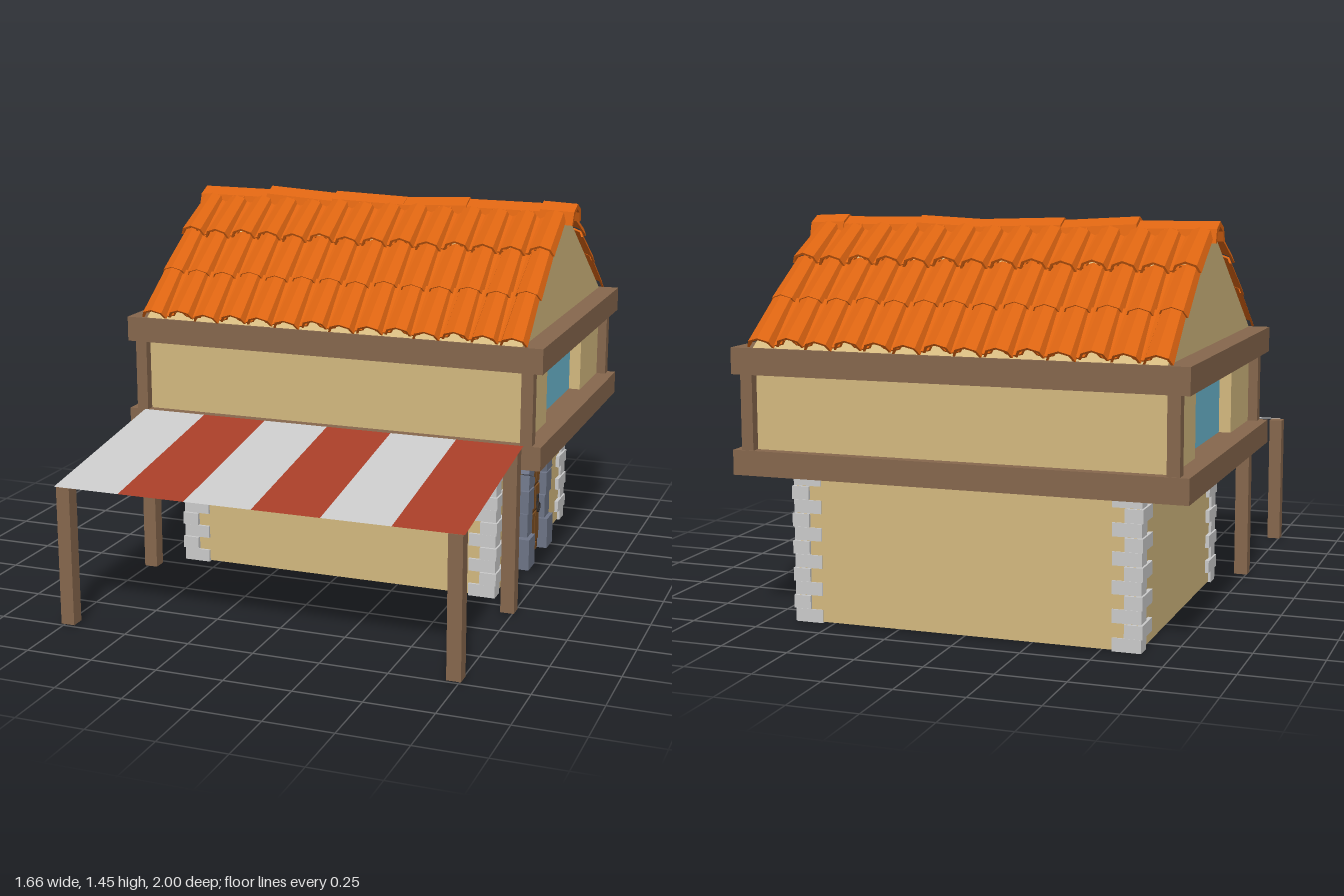
import * as THREE from 'three';

const mat = (color, extra = {}) => new THREE.MeshStandardMaterial({ color, flatShading: true, ...extra });
const M = {
  plaster: mat(0xd4b97f), wood: mat(0x86674d), stone: mat(0xcccccc), slate: mat(0x6e7587),
  tile: mat(0xdc6411), glass: mat(0x6cbad2), door: mat(0x7e4f22), darkWood: mat(0x583616), iron: mat(0x33302e),
  red: mat(0xa83e28, { side: THREE.DoubleSide }), pale: mat(0xcccccc, { side: THREE.DoubleSide }),
};
const MID = -0.35; // z of the ridge and house centre

function add(parent, name, geo, material, x = 0, y = 0, z = 0) {
  const m = new THREE.Mesh(geo, material);
  m.name = name;
  m.position.set(x, y, z);
  parent.add(m);
  return m;
}

// Box given by its lower and upper limits on each axis
function block(parent, name, material, [x0, x1], [y0, y1], [z0, z1]) {
  return add(parent, name, new THREE.BoxGeometry(x1 - x0, y1 - y0, z1 - z0), material,
    (x0 + x1) / 2, (y0 + y1) / 2, (z0 + z1) / 2);
}

function group(parent, name, x = 0, y = 0, z = 0) {
  const g = new THREE.Group();
  g.name = name;
  g.position.set(x, y, z);
  parent.add(g);
  return g;
}

// Faceted arched tile running from z = 0 to z = -length, narrowing by taper
function archTile(w, h, t, length, taper) {
  const arch = (a, b) => [[-a, 0], [-a * 0.75, b * 0.66], [0, b], [a * 0.75, b * 0.66], [a, 0]];
  const pts = [...arch(w, h), ...arch(w - t, h - t).reverse()].map(p => new THREE.Vector2(...p));
  const geo = new THREE.ExtrudeGeometry(new THREE.Shape(pts), { depth: length, bevelEnabled: false });
  const p = geo.attributes.position;
  for (let i = 0; i < p.count; i++) {
    const s = 1 - taper * p.getZ(i) / length;
    p.setXY(i, p.getX(i) * s, p.getY(i) * s);
  }
  geo.rotateY(Math.PI);
  geo.computeVertexNormals();
  return geo;
}

function buildWalls(root) {
  block(root, 'groundFloorWall', M.plaster, [-0.635, 0.635], [0.005, 0.56], [-0.88, 0.185]);
  block(root, 'lowerBeamFrame', M.wood, [-0.83, 0.83], [0.545, 0.635], [-0.985, 0.28]);
  block(root, 'upperBeamFrame', M.wood, [-0.83, 0.83], [0.905, 1.0], [-0.985, 0.28]);
  block(root, 'upperFloorCore', M.plaster, [-0.7, 0.7], [0.635, 0.905], [-0.945, 0.245]);
  for (const s of [-1, 1]) {
    const span = (a, b) => [Math.min(s * a, s * b), Math.max(s * a, s * b)];
    // side wall pieces leave a recessed window between them
    block(root, 'upperSideWall', M.plaster, span(0.7, 0.76), [0.635, 0.905], [-0.07, 0.245]);
    block(root, 'upperSideWall', M.plaster, span(0.7, 0.76), [0.635, 0.905], [-0.945, -0.625]);
    block(root, 'window', M.glass, span(0.7, 0.715), [0.635, 0.905], [-0.625, -0.07]);
    for (const z of [0.2575, -0.9575])
      block(root, 'cornerPost', M.wood, span(0.752, 0.797), [0.635, 0.905], [z - 0.0225, z + 0.0225]);
  }
  // interlocking corner stones
  const quoins = group(root, 'cornerStones', 0, 0, -0.345);
  for (const sx of [-1, 1]) for (const sz of [-1, 1]) for (let i = 0; i < 11; i++) {
    const out = i % 2 ? 0 : 0.005;
    const wx = i % 2 ? 0.065 : 0.105, wz = i % 2 ? 0.125 : 0.065;
    add(quoins, 'cornerStone', new THREE.BoxGeometry(wx, 0.048, wz), M.stone,
      sx * (0.65 - out - wx / 2), 0.025 + i * 0.05, sz * (0.545 - out - wz / 2));
  }
}

function buildRoof(root) {
  const gable = new THREE.Shape([[-0.62, 0], [0.62, 0], [0, 0.4]].map(p => new THREE.Vector2(...p)));
  const gableGeo = new THREE.ExtrudeGeometry(gable, { depth: 1.5, bevelEnabled: false });
  gableGeo.translate(0, 0, -0.75).rotateY(Math.PI / 2);
  add(root, 'gable', gableGeo, M.plaster, 0, 1.0, MID);

  const cover = archTile(0.052, 0.045, 0.009, 0.24, 0.15);
  const trough = cover.clone().rotateZ(Math.PI).scale(0.8, 0.6, 1).translate(0, 0.025, 0);
  // each row: lower end height, distance from the ridge, pitch in degrees
  const rows = [[1.003, 0.62, 37], [1.135, 0.44, 34], [1.27, 0.265, 28]];
  for (const turn of [0, Math.PI]) {
    const slope = group(root, 'roofSlope', 0, 0, MID);
    slope.rotation.y = turn;
    for (const [y, z, pitch] of rows) {
      const row = group(slope, 'tileRow', 0, y, z);
      row.rotation.x = THREE.MathUtils.degToRad(pitch);
      for (let i = 0; i < 14; i++) {
        const x = (i - 6.5) * 0.1105;
        const wobble = 0.006 * Math.sin(i * 2.4 + y * 9);
        add(row, 'roofTile', cover, M.tile, x, 0, wobble);
        if (i < 13) add(row, 'channelTile', trough, M.tile, x + 0.055, 0, -0.01);
      }
    }
  }
  // slightly uneven ridge caps: start x, end x, start top, end top
  const caps = [[-0.775, -0.47, 1.437, 1.435], [-0.485, -0.2, 1.45, 1.433], [-0.2, 0.1, 1.442, 1.432],
    [0.09, 0.365, 1.43, 1.443], [0.36, 0.67, 1.436, 1.434], [0.655, 0.79, 1.443, 1.437]];
  for (const [x0, x1, y0, y1] of caps) {
    const cap = group(root, 'ridgeCap', x0, y0 - 0.075, MID);
    cap.rotation.z = Math.atan2(y1 - y0, x1 - x0);
    add(cap, 'ridgeTile', archTile(0.072, 0.075, 0.02, x1 - x0, 0), M.tile).rotation.y = -Math.PI / 2;
  }
}

function buildDoorway(root) {
  // local x runs along the wall, local z points out of it
  const d = group(root, 'doorway', 0.63, 0, -0.342);
  d.rotation.y = Math.PI / 2;
  const R = 0.105, springY = 0.325;
  const leaf = new THREE.Shape();
  leaf.moveTo(-R, 0.005);
  leaf.lineTo(R, 0.005);
  leaf.lineTo(R, springY);
  leaf.absarc(0, springY, R, 0, Math.PI, false);
  leaf.closePath();
  add(d, 'doorLeaf', new THREE.ExtrudeGeometry(leaf, { depth: 0.014, bevelEnabled: false, curveSegments: 10 }), M.darkWood);
  for (const x of [-0.064, 0, 0.064])
    for (const [y0, y1] of [[0.045, 0.17], [0.185, 0.28], [0.295, x ? 0.375 : 0.415]])
      block(d, 'doorPlank', M.door, [x - 0.028, x + 0.028], [y0, y1], [0.01, 0.02]);
  for (const x of [-0.032, 0.032]) block(d, 'doorBatten', M.door, [x - 0.03, x + 0.03], [0.01, 0.038], [0.01, 0.022]);
  block(d, 'handlePlate', M.iron, [0.046, 0.066], [0.195, 0.24], [0.018, 0.025]);
  add(d, 'handleRing', new THREE.TorusGeometry(0.018, 0.004, 6, 12), M.iron, 0.056, 0.187, 0.027);

  // jamb stones
  for (const s of [-1, 1])
    for (const [y0, y1, outer, depth] of [[0, 0.125, 0.19, 0.055], [0.13, 0.225, 0.172, 0.042], [0.23, 0.32, 0.18, 0.047]]) {
      const w = outer - 0.098;
      add(d, 'jambStone', new THREE.BoxGeometry(w, y1 - y0, depth), M.slate,
        s * (0.098 + w / 2), (y0 + y1) / 2, depth / 2);
    }
  // arch stones
  for (let i = 0; i < 9; i++) {
    const a = i * Math.PI / 9 + 0.012, b = (i + 1) * Math.PI / 9 - 0.012;
    const outer = i % 2 ? 0.178 : 0.187;
    const s = new THREE.Shape([[a, 0.098], [a, outer], [b, outer], [b, 0.098]]
      .map(([t, r]) => new THREE.Vector2(Math.cos(t) * r, Math.sin(t) * r)));
    add(d, 'archStone', new THREE.ExtrudeGeometry(s, { depth: i % 2 ? 0.042 : 0.048, bevelEnabled: false }),
      M.slate, 0, springY);
  }
}

function buildAwning(root) {
  const drop = 0.11, reach = 0.72, w = 0.255;
  const strip = new THREE.PlaneGeometry(w, Math.hypot(drop, reach)).rotateX(-Math.PI / 2);
  for (let i = 0; i < 6; i++)
    add(root, 'awningStripe', strip, i % 2 ? M.red : M.pale, (i - 2.5) * w, 0.58, 0.28 + reach / 2)
      .rotation.x = Math.atan2(drop, reach);
  for (const x of [-0.732, 0.732]) {
    block(root, 'awningFrontPost', M.wood, [x - 0.026, x + 0.026], [0.005, 0.523], [0.945, 0.998]);
    block(root, 'awningRearPost', M.wood, [x - 0.026, x + 0.026], [0.005, 0.625], [0.28, 0.333]);
  }
}

export function createModel() {
  const root = new THREE.Group();
  root.name = 'marketHouse';
  buildWalls(root);
  buildRoof(root);
  buildDoorway(root);
  buildAwning(root);
  return root;
}
